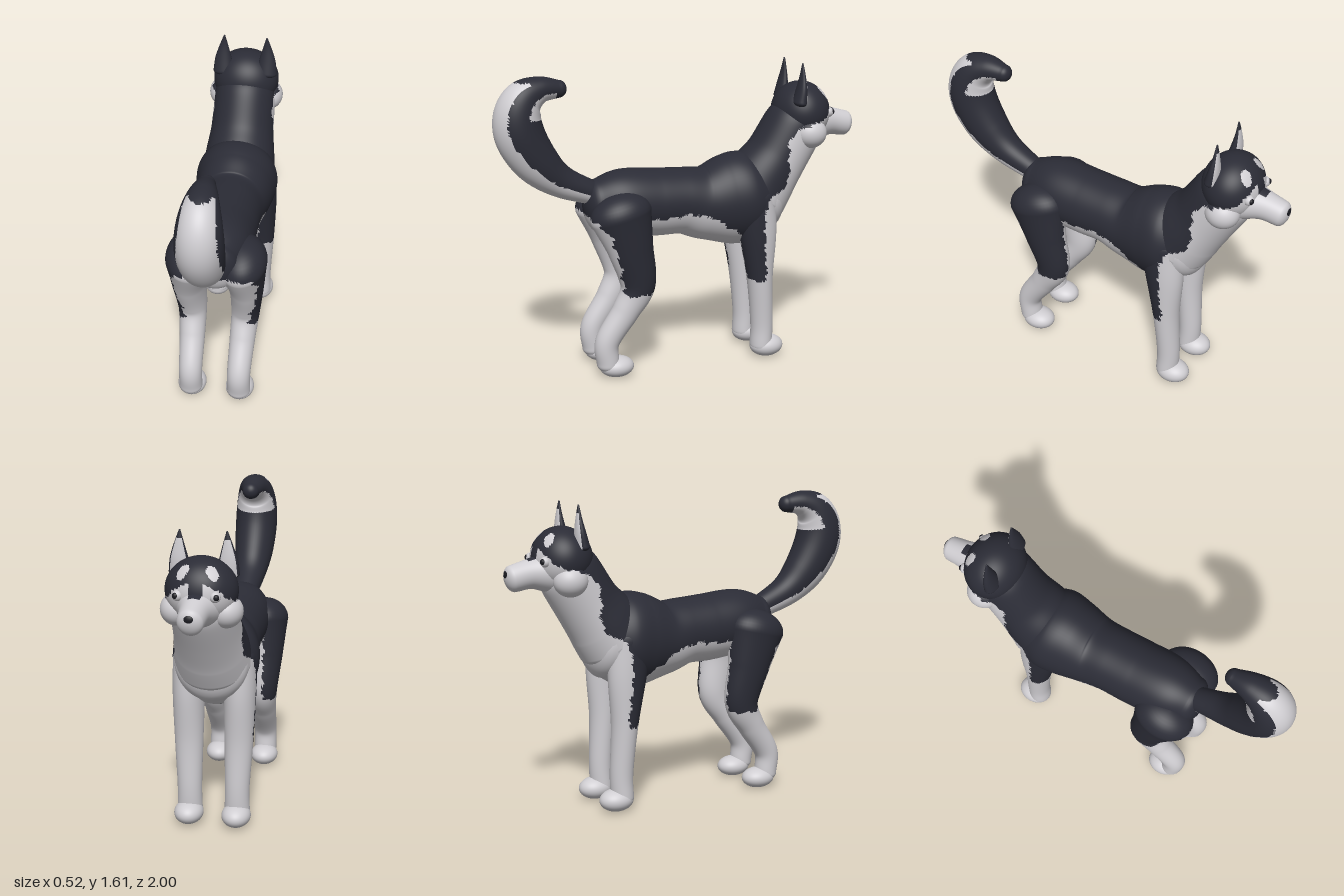
import * as THREE from 'three';

const material = (name, color) => Object.assign(new THREE.MeshStandardMaterial({ color }), { name });
const dark = material('dark coat', 0x2b2c36);
const light = material('light coat', 0xcfcdd1);
const black = material('nose and pupil black', 0x1b1b21);

// Linear lookup in a table of [key, value] pairs with rising keys
function lookup(table, k) {
  if (k <= table[0][0]) return table[0][1];
  for (let i = 1; i < table.length; i++) {
    const [a, va] = table[i - 1], [b, vb] = table[i];
    if (k <= b) return va + (vb - va) * (k - a) / (b - a);
  }
  return table[table.length - 1][1];
}

// Splits a geometry into dark and light faces by a rule on each face's centre and uv
function paint(name, geo, isDark) {
  const { position: p, uv } = geo.attributes, idx = geo.index.array, sets = [[], []];
  const c = new THREE.Vector3();
  for (let i = 0; i < idx.length; i += 3) {
    const f = [idx[i], idx[i + 1], idx[i + 2]];
    const mean = (g) => (g(f[0]) + g(f[1]) + g(f[2])) / 3;
    c.set(mean((k) => p.getX(k)), mean((k) => p.getY(k)), mean((k) => p.getZ(k)));
    sets[isDark(c, mean((k) => uv.getX(k)), mean((k) => uv.getY(k))) ? 0 : 1].push(...f);
  }
  geo.setIndex([...sets[0], ...sets[1]]);
  geo.addGroup(0, sets[0].length, 0);
  geo.addGroup(sets[0].length, sets[1].length, 1);
  const mesh = new THREE.Mesh(geo, [dark, light]);
  mesh.name = name;
  return mesh;
}

// Smooth round-ended body through stations [x, y, z, half width, half depth]
// uv holds (place along the path, sine of the angle round it)
function loft(stations, { cap = 0.7, rows = 70, sides = 48 } = {}) {
  const curve = (f) => new THREE.CatmullRomCurve3(stations.map(f), false, 'catmullrom', 0.5);
  const path = curve((s) => new THREE.Vector3(s[0], s[1], s[2]));
  const size = curve((s) => new THREE.Vector3(s[3], s[4], 0));
  const rings = [], capRows = 10;
  for (let i = capRows; i > 0; i--) rings.push([0, -i / capRows]);
  for (let i = 0; i <= rows; i++) rings.push([i / rows, 0]);
  for (let i = 1; i <= capRows; i++) rings.push([1, i / capRows]);
  const pos = [], uv = [], index = [];
  rings.forEach(([t, e], i) => {
    const c = path.getPoint(t), r = size.getPoint(t), dir = path.getTangent(t);
    const side = new THREE.Vector3(1, 0, 0).addScaledVector(dir, -dir.x).normalize();
    const up = dir.clone().cross(side);
    const phi = e * Math.PI * 0.499;
    c.addScaledVector(dir, Math.sin(phi) * cap * r.y);
    for (let j = 0; j < sides; j++) {
      const a = j / sides * Math.PI * 2, k = Math.cos(phi);
      const v = c.clone().addScaledVector(side, Math.cos(a) * r.x * k).addScaledVector(up, Math.sin(a) * r.y * k);
      pos.push(v.x, v.y, v.z);
      uv.push(t, Math.sin(a));
      if (i === rings.length - 1) continue;
      const p = i * sides + j, q = i * sides + (j + 1) % sides;
      index.push(p, q, p + sides, q, q + sides, p + sides);
    }
  });
  const geo = new THREE.BufferGeometry();
  geo.setAttribute('position', new THREE.Float32BufferAttribute(pos, 3));
  geo.setAttribute('uv', new THREE.Float32BufferAttribute(uv, 2));
  geo.setIndex(index);
  geo.computeVertexNormals();
  return geo;
}

const ball = (x, y, z, rx, ry, rz, n = 24) =>
  new THREE.SphereGeometry(1, n * 2, n).scale(rx, ry, rz).translate(x, y, z);

function solid(name, geo, mat) {
  const mesh = new THREE.Mesh(geo, mat);
  mesh.name = name;
  return mesh;
}

// Coat borders: front edge (y to z), belly line (z to y), face line (z to y), thigh back (y to z)
const frontEdge = [[0.45, -0.42], [0.67, -0.4], [0.8, -0.395], [0.9, -0.42], [0.95, -0.52], [1.02, -0.555],
  [1.12, -0.55], [1.2, -0.555], [1.26, -0.61], [1.29, -0.7], [1.3, -1]];
const bellyLine = [[-0.4, 0.6], [-0.28, 0.72], [-0.2, 0.77], [-0.12, 0.83], [0, 0.855], [0.2, 0.84], [0.4, 0.84], [0.5, 0.87]];
const faceLine = [[-0.86, 1.4], [-0.83, 1.39], [-0.81, 1.35], [-0.77, 1.305], [-0.67, 1.28], [-0.61, 1.26], [-0.55, 1.2]];
const thighBack = [[0.45, 0.37], [0.64, 0.41], [0.79, 0.46], [0.86, 0.52], [0.9, 0.7]];
const ragged = (k) => 0.006 * Math.sin(k * 70) + 0.004 * Math.sin(k * 173);

const bodyCoat = (p) => p.y > lookup(bellyLine, p.z) + ragged(p.z) && p.z > lookup(frontEdge, p.y) + ragged(p.y);
const headCoat = (p) => {
  const x = Math.abs(p.x);
  const brow = Math.hypot((x - 0.07) / 0.03, (p.z + 0.785) / 0.026) < 1 && p.y > 1.35;
  const blaze = x < 0.035 && p.y > 1.3 && p.z > -0.88;
  return !brow && (blaze || p.y > lookup(faceLine, p.z) + ragged(p.z + x));
};

export function createModel() {
  const dog = new THREE.Group();
  dog.name = 'dog';

  // Trunk and neck
  dog.add(paint('trunk', loft([
    [0, 0.905, 0.46, 0.13, 0.145], [0, 0.915, 0.33, 0.17, 0.175], [0, 0.9, 0.15, 0.175, 0.18],
    [0, 0.893, 0, 0.175, 0.178], [0, 0.872, -0.12, 0.185, 0.2], [0, 0.875, -0.25, 0.21, 0.243],
    [0, 0.885, -0.36, 0.222, 0.248], [0, 0.895, -0.46, 0.19, 0.205],
  ], { cap: 0.55, rows: 110, sides: 72 }), bodyCoat));
  dog.add(paint('neck', loft([
    [0, 0.9, -0.41, 0.2, 0.2], [0, 0.985, -0.47, 0.188, 0.19], [0, 1.09, -0.55, 0.172, 0.17],
    [0, 1.25, -0.65, 0.165, 0.164], [0, 1.31, -0.69, 0.15, 0.14],
  ], { cap: 0.4, sides: 72 }), bodyCoat));

  // Head, muzzle and nose
  dog.add(paint('head', ball(0, 1.33, -0.69, 0.178, 0.163, 0.155, 48), headCoat));
  dog.add(paint('muzzle', loft([
    [0, 1.265, -0.75, 0.12, 0.11], [0, 1.263, -0.86, 0.077, 0.077], [0, 1.245, -0.955, 0.064, 0.068],
  ], { rows: 40, cap: 0.6 }), (p) => Math.abs(p.x) < 0.03 && p.y > 1.3 && p.z > -0.88));
  dog.add(solid('nose', ball(0, 1.265, -0.975, 0.035, 0.03, 0.025, 12), black));

  // Tail, light along its outer curve and under its tip
  dog.add(paint('tail', loft([
    [0, 0.97, 0.47, 0.06, 0.06], [0, 1.055, 0.66, 0.085, 0.085], [0, 1.16, 0.78, 0.108, 0.115],
    [0, 1.29, 0.86, 0.118, 0.128], [0, 1.4, 0.878, 0.115, 0.123], [0, 1.49, 0.84, 0.1, 0.105],
    [0, 1.535, 0.76, 0.075, 0.07], [0, 1.535, 0.66, 0.045, 0.045],
  ], { cap: 0.9 }), (p, t, s) => {
    const outer = s < lookup([[0, -0.1], [0.3, -0.3], [0.5, -0.55], [0.7, -0.6]], t) + 3 * ragged(t) && p.y < 1.58 && t < 0.8;
    const underTip = s > 0.3 + 3 * ragged(t) && t > 0.58 && t < 0.97;
    return !outer && !underTip;
  }));

  for (const s of [1, -1]) {
    const side = s > 0 ? 'left' : 'right';
    const pair = (stations) => stations.map(([x, ...rest]) => [x * s, ...rest]);

    // Cheek, eye and ear
    dog.add(paint(side + 'Cheek', ball(0.12 * s, 1.23, -0.695, 0.083, 0.082, 0.09), headCoat));
    dog.add(solid(side + 'Eye', ball(0.09 * s, 1.33, -0.817, 0.027, 0.027, 0.027, 12), light));
    dog.add(solid(side + 'Pupil', ball(0.097 * s, 1.332, -0.833, 0.016, 0.016, 0.014, 10), black));
    dog.add(paint(side + 'Ear', loft(pair([
      [0.118, 1.4, -0.63, 0.056, 0.036], [0.12, 1.47, -0.64, 0.045, 0.026],
      [0.118, 1.54, -0.645, 0.025, 0.014], [0.115, 1.605, -0.645, 0.004, 0.004],
    ]), { rows: 30, sides: 32 }), (p, t, a) => !(a > 0.55 && t < 0.8)));

    // Front leg and paw
    dog.add(paint(side + 'FrontLeg', loft(pair([
      [0.125, 0.9, -0.37, 0.09, 0.12], [0.132, 0.7, -0.392, 0.083, 0.103], [0.13, 0.45, -0.408, 0.074, 0.07],
      [0.125, 0.2, -0.425, 0.064, 0.061], [0.125, 0.07, -0.422, 0.066, 0.06],
    ])), (p) => p.y > 0.455 + ragged(p.z) && (p.x * s > 0.125 + ragged(p.y) || p.y > 0.85)
      && p.z > lookup(frontEdge, p.y) + ragged(p.y)));
    dog.add(solid(side + 'FrontPaw', ball(0.125 * s, 0.06, -0.455, 0.076, 0.06, 0.093), light));

    // Hind leg and paw
    dog.add(paint(side + 'HindLeg', loft(pair([
      [0.135, 0.88, 0.38, 0.127, 0.165], [0.15, 0.7, 0.335, 0.092, 0.122], [0.142, 0.5, 0.295, 0.076, 0.095],
      [0.135, 0.36, 0.36, 0.068, 0.074], [0.13, 0.2, 0.462, 0.062, 0.065], [0.13, 0.075, 0.46, 0.062, 0.06],
    ])), (p) => p.y > 0.455 + ragged(p.z) && (p.x * s > 0.15 + ragged(p.y) || p.y > 0.86)
      && p.z < lookup(thighBack, p.y) + ragged(p.y)));
    dog.add(solid(side + 'HindPaw', ball(0.13 * s, 0.056, 0.412, 0.076, 0.056, 0.092), light));
  }

  // Rest the paws on the ground
  const box = new THREE.Box3().setFromObject(dog);
  dog.children.forEach((part) => { part.position.y -= box.min.y; });
  return dog;
}
